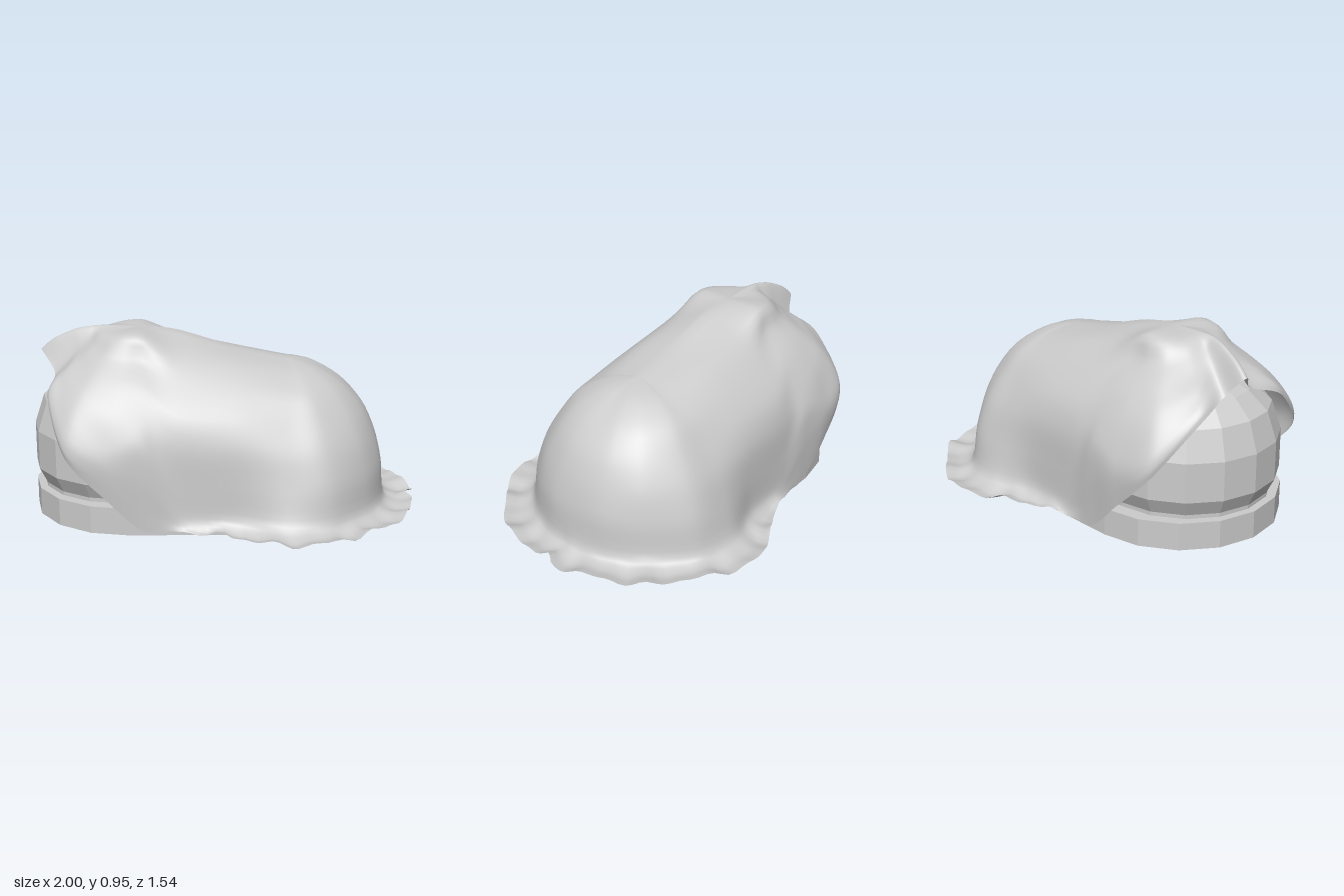
import * as THREE from 'three';
import { mergeVertices } from 'three/addons/utils/BufferGeometryUtils.js';

// Surface through rows of points; wraps around along each row.
function loft(rows) {
  const n = rows[0].length, index = [];
  for (let j = 0; j < rows.length - 1; j++) {
    for (let i = 0; i < n; i++) {
      const k = (i + 1) % n;
      const a = j * n + i, b = j * n + k, c = a + n, d = b + n;
      index.push(a, b, c, b, d, c);
    }
  }
  const geo = new THREE.BufferGeometry().setFromPoints(rows.flat());
  geo.setIndex(index);
  return geo;
}

// Oblong outline: two half circles around the ends of a centre line.
function oblong(x0, x1, r, y) {
  const pts = [];
  for (const [cx, from] of [[x1, -4], [x0, 4]]) {
    for (let k = from; k <= from + 8; k++) {
      const a = k * Math.PI / 8;
      pts.push(new THREE.Vector3(cx + r * Math.cos(a), y, r * Math.sin(a)));
    }
  }
  return pts;
}

// Cloth stations: centre x, angle from +x, then radius/height pairs from crown to hem.
const skirtStations = [
  [0.30, 0, 0, .79, .15, .75, .30, .66, .41, .54, .475, .40, .51, .25, .53, .07, .61, .03, .69, .045],
  [0.30, 20, 0, .79, .16, .75, .31, .66, .415, .54, .48, .40, .52, .25, .535, .07, .61, .03, .695, .045],
  [0.30, 42, 0, .79, .17, .75, .32, .66, .42, .54, .49, .40, .53, .24, .55, .07, .63, .03, .715, .045],
  [0.30, 68, 0, .79, .18, .75, .33, .66, .43, .53, .505, .40, .56, .24, .59, .07, .66, .03, .74, .045],
  [0.30, 90, 0, .79, .18, .755, .33, .665, .43, .53, .50, .40, .55, .23, .60, .07, .69, .03, .775, .045],
  [0.05, 90, 0, .84, .20, .80, .34, .70, .45, .57, .505, .43, .52, .25, .53, .08, .59, .03, .65, .04],
  [-.25, 90, 0, .93, .20, .86, .33, .75, .46, .60, .51, .45, .52, .27, .525, .12, .53, .06, .54, .03],
];
const hoodStations = [
  [-.42, 90, 0, .95, .20, .935, .26, .83, .39, .71, .48, .57, .53, .45, .54, .30, .535, .15, .53, .03],
  [-.45, 106, 0, .95, .20, .94, .27, .84, .39, .73, .49, .60, .55, .46, .57, .38, .57, .30, .56, .20],
  [-.45, 125, 0, .95, .20, .935, .28, .85, .38, .77, .48, .68, .55, .59, .60, .50, .615, .44, .61, .40],
  [-.45, 148, 0, .95, .19, .935, .27, .87, .34, .81, .41, .765, .455, .73, .495, .70, .52, .67, .53, .64],
  [-.45, 168, 0, .95, .18, .945, .25, .90, .30, .86, .34, .82, .37, .79, .40, .76, .42, .74, .44, .72],
  [-.45, 180, 0, .95, .18, .955, .25, .95, .32, .935, .38, .91, .43, .885, .46, .865, .49, .84, .51, .82],
];

function clothGeometry() {
  const half = [...skirtStations, ...hoodStations].map(([cx, deg, ...p]) => {
    const a = deg * Math.PI / 180, pts = [];
    for (let i = 0; i < p.length; i += 2) {
      pts.push(new THREE.Vector3(cx + p[i] * Math.cos(a), p[i + 1], p[i] * Math.sin(a)));
    }
    return pts;
  });
  const mirrored = half.slice(1, -1).reverse()
    .map(s => s.map(p => new THREE.Vector3(p.x, p.y, -p.z)));
  const stations = [...half, ...mirrored];

  // Smooth lengthwise curves, then smooth profiles across them
  const around = stations.length * 8, down = 32;
  const columns = half[0].map((_, j) =>
    new THREE.CatmullRomCurve3(stations.map(s => s[j]), true, 'catmullrom', 0.45));
  const rows = Array.from({ length: down + 1 }, () => []);
  for (let i = 0; i < around; i++) {
    const t = i / around;
    const knots = columns.map(c => c.getPoint(t));
    knots[0].x = THREE.MathUtils.clamp(knots[0].x, -0.45, 0.3);
    knots[0].y = THREE.MathUtils.clamp(knots[0].y, 0.79, 0.95);
    const profile = new THREE.CatmullRomCurve3(knots, false, 'catmullrom', 0.45);
    for (let j = 0; j <= down; j++) {
      const p = profile.getPoint(j / down);
      // Ruffled hem with a small notch at the end
      const hem = THREE.MathUtils.smoothstep(j / down, 0.7, 1) * THREE.MathUtils.smoothstep(p.x, -0.5, 0);
      const a = Math.atan2(p.z, p.x - 0.2);
      p.y += hem * (0.011 * Math.sin(a * 17) + 0.008 * Math.sin(a * 29 + 1));
      const spread = 1 + hem * 0.01 * Math.sin(a * 11 + 2);
      p.z *= spread;
      p.x = Math.min(1, 0.2 + (p.x - 0.2) * spread);
      if (p.x > 0.7) p.x -= hem * 0.045 * Math.exp(-(((p.z - 0.05) / 0.035) ** 2));
      // Pinched tip leans to one side
      if (p.x < -0.7) p.z -= 0.18 * (-0.7 - p.x) * Math.exp(-p.z * p.z * 60);
      p.y = Math.max(p.y, 0.015);
      rows[j].push(p);
    }
  }
  const geo = mergeVertices(loft(rows), 1e-3);
  geo.computeVertexNormals();
  return geo;
}

export function createModel() {
  const model = new THREE.Group();
  const add = (name, geometry, options) => {
    const mesh = new THREE.Mesh(geometry, new THREE.MeshStandardMaterial({ color: 0xcccccc, ...options }));
    mesh.name = name;
    model.add(mesh);
  };
  const faceted = rows => {
    const geo = loft(rows).toNonIndexed();
    geo.computeVertexNormals();
    return geo;
  };

  // Flat plinth
  add('base', faceted([[0, .14], [.51, .14], [.51, 0], [0, 0]]
    .map(([r, y]) => oblong(-.49, .27, r, y))), { flatShading: true });

  // Domed body under the cloth, a little taller toward its exposed end
  const dome = [[0, .72], [.21, .70], [.32, .65], [.42, .56], [.47, .44], [.47, .24], [.43, .16], [.43, .14]]
    .map(([r, y]) => oblong(-.53, .22, r, y));
  dome.flat().forEach(p => { if (p.y > 0.5) p.y *= 1 + 0.06 * Math.max(0, -p.x); });
  add('dome', faceted(dome), { flatShading: true });

  // Draped cloth
  add('cloth', clothGeometry(), { side: THREE.DoubleSide });
  return model;
}
